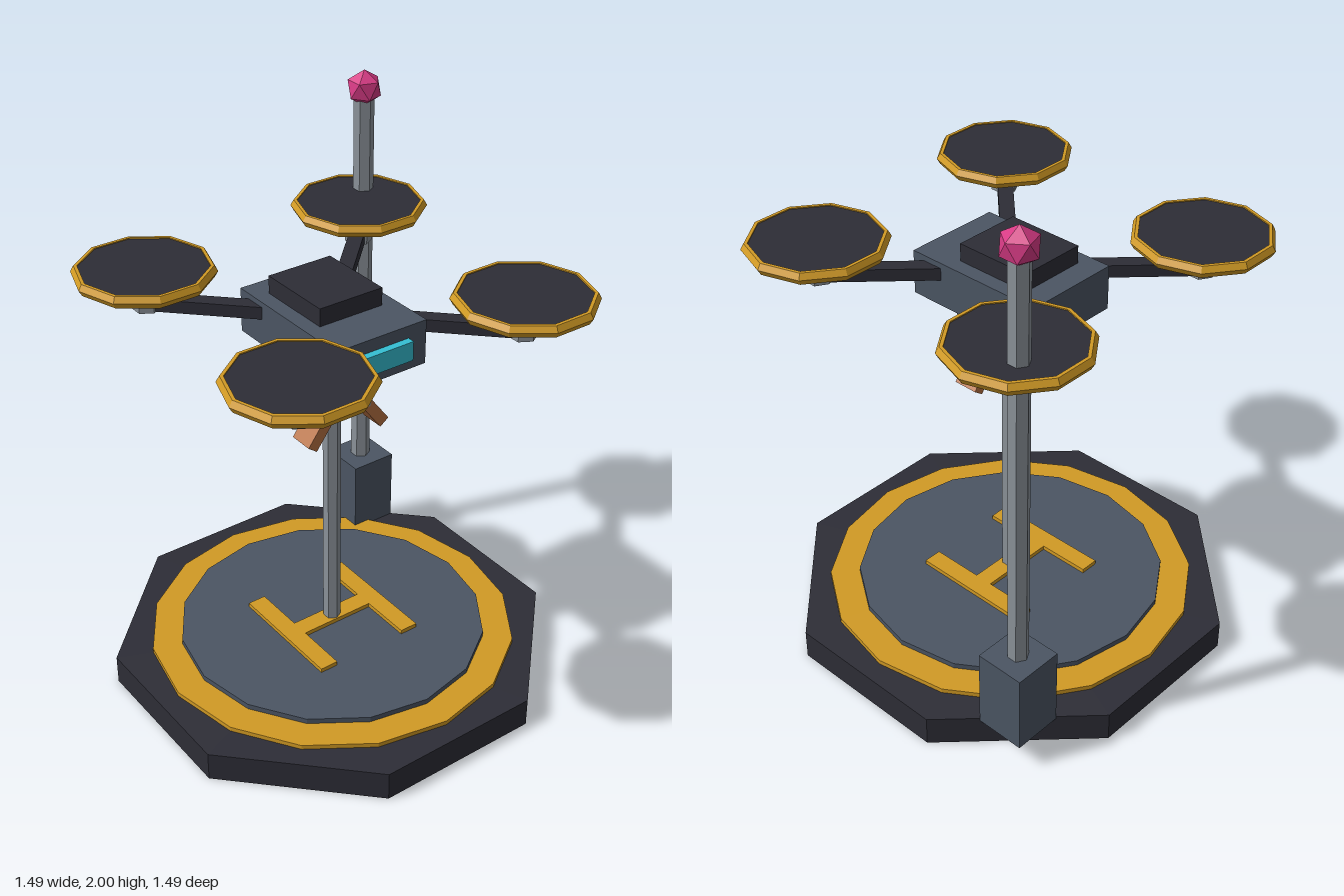
import * as THREE from 'three';

export function createModel() {
  const model = new THREE.Group();
  model.name = 'deliveryDroneOnPad';

  const mat = (name, color) => {
    const m = new THREE.MeshStandardMaterial({ color, flatShading: true });
    m.name = name;
    return m;
  };
  const dark = mat('charcoal', 0x2d2d36);
  const slate = mat('slate', 0x4b5563);
  const gold = mat('gold', 0xd19a24);
  const metal = mat('metal', 0x8b9299);
  const copper = mat('copper', 0xb87243);
  const cyan = mat('cyan', 0x35bfd4);
  const pink = mat('pink', 0xd63a84);

  const add = (name, geometry, material, x = 0, y = 0, z = 0, parent = model) => {
    const mesh = new THREE.Mesh(geometry, material);
    mesh.name = name;
    mesh.position.set(x, y, z);
    parent.add(mesh);
    return mesh;
  };
  // Box and prism given by their bottom and top heights
  const box = (name, m, w, y0, y1, d, x = 0, z = 0, parent = model) =>
    add(name, new THREE.BoxGeometry(w, y1 - y0, d), m, x, (y0 + y1) / 2, z, parent);
  const prism = (name, m, r, sides, y0, y1, x = 0, z = 0, parent = model) =>
    add(name, new THREE.CylinderGeometry(r, r, y1 - y0, sides), m, x, (y0 + y1) / 2, z, parent);

  // Landing pad
  prism('padBase', dark, 0.807, 8, 0, 0.11).rotation.y = Math.PI / 8;
  prism('padRing', gold, 0.672, 16, 0.105, 0.127);
  prism('padDisc', slate, 0.563, 16, 0.11, 0.147);
  for (const s of [-1, 1]) box('padMarkBar', gold, 0.07, 0.14, 0.163, 0.464, s * 0.181);
  box('padMarkCrossbar', gold, 0.3, 0.14, 0.163, 0.07);

  // Support pole and beacon mast
  prism('supportPole', metal, 0.032, 6, 0.15, 1.275);
  box('mastBox', slate, 0.182, 0.1, 0.4, 0.182, 0.527, -0.527);
  prism('mast', metal, 0.037, 6, 0.4, 1.9, 0.527, -0.527);
  const beacon = new THREE.IcosahedronGeometry(0.066, 0);
  beacon.rotateZ(Math.atan(2 / (1 + Math.sqrt(5)))); // one corner straight up
  beacon.rotateY(Math.PI);
  add('beacon', beacon, pink, 0.527, 1.934, -0.527);

  // Drone body
  const drone = new THREE.Group();
  drone.name = 'drone';
  model.add(drone);
  box('body', slate, 0.364, 1.303, 1.465, 0.54, 0, 0, drone);
  box('topHatch', dark, 0.252, 1.46, 1.53, 0.29, 0, -0.038, drone);
  box('visor', cyan, 0.218, 1.35, 1.42, 0.04, 0, 0.277, drone);

  // Rotor rim cross-section, swept around the rotor
  const rim = [
    [0.222, 1.514], [0.234, 1.514], [0.246, 1.535],
    [0.234, 1.556], [0.222, 1.556], [0.222, 1.514],
  ].map(([r, y]) => new THREE.Vector2(r, y));
  const rimGeometry = new THREE.LatheGeometry(rim, 10);
  rimGeometry.rotateY(Math.PI / 2);

  // Four arms, each with a motor, rotor disc and rim
  for (const sx of [-1, 1]) {
    for (const sz of [-1, 1]) {
      const x = sx * 0.446, z = sz * 0.446;
      const arm = box('arm', dark, 0.055, 1.4, 1.445, 0.5, x * 0.6, z * 0.6, drone);
      arm.rotation.y = sx * sz * Math.PI / 4;
      prism('motor', metal, 0.05, 6, 1.398, 1.53, x, z, drone);
      prism('rotorDisc', dark, 0.224, 10, 1.522, 1.552, x, z, drone).rotation.y = Math.PI / 2;
      add('rotorRim', rimGeometry, gold, x, 0, z, drone);
    }
  }

  // Gripper legs and tips: bars between two points in the front plane
  const bar = (name, m, x0, y0, x1, y1, thick) => {
    const dx = x1 - x0, dy = y1 - y0;
    const b = add(name, new THREE.BoxGeometry(thick, Math.hypot(dx, dy), 0.092), m,
      (x0 + x1) / 2, (y0 + y1) / 2, 0.053, drone);
    b.rotation.z = Math.atan2(-dx, dy);
  };
  for (const s of [-1, 1]) {
    bar('gripperLeg', metal, s * 0.148, 1.315, s * 0.072, 1.09, 0.036);
    bar('gripperTip', copper, s * 0.076, 1.1, s * 0.152, 0.998, 0.042);
  }

  return model;
}
